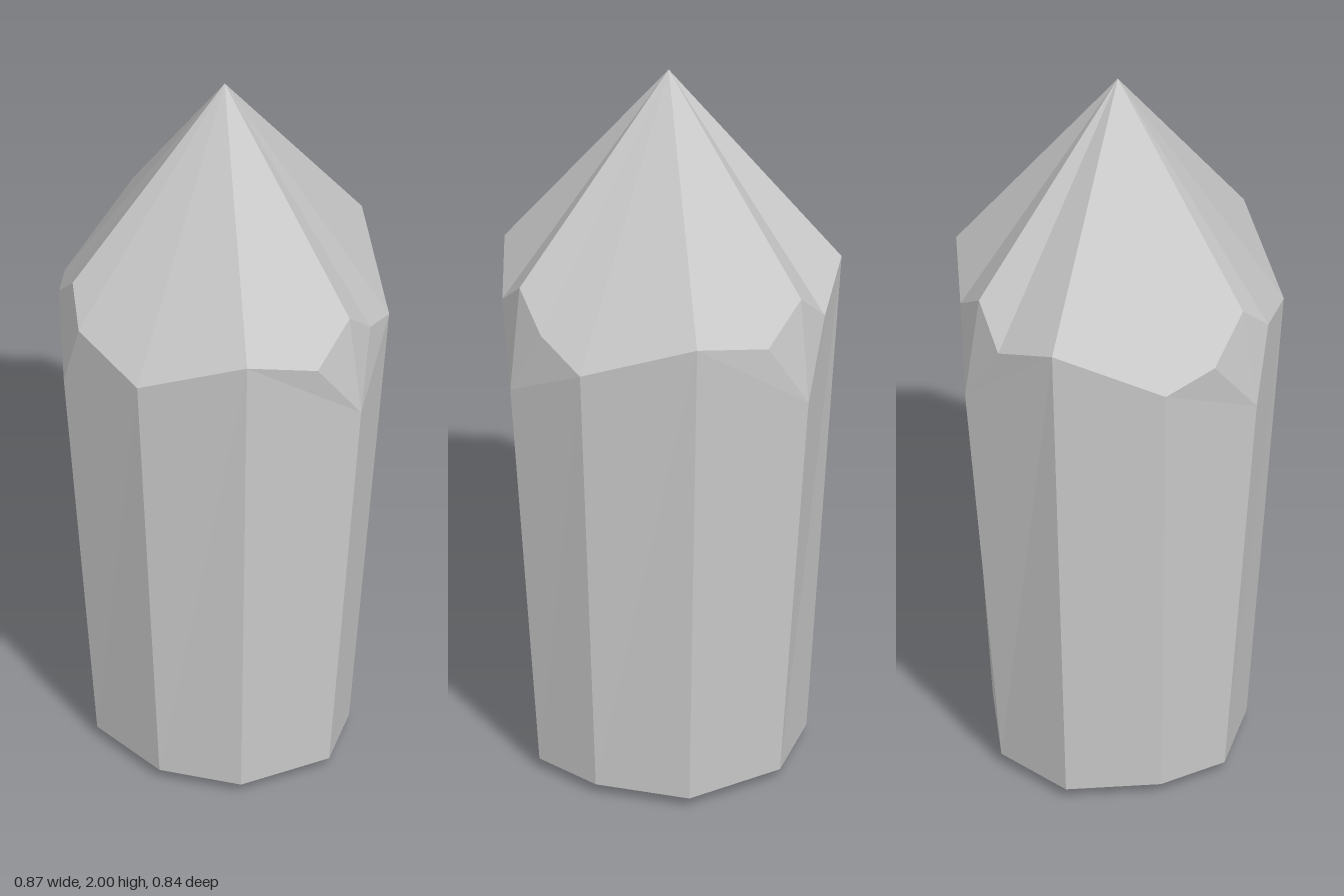
import * as THREE from 'three';

// One entry per third of the crystal, going round from +x towards +z.
// a, b: shoulder corners; l, t, r, k: left, top, right and bottom of the small kite facet.
// base: foot points below a, b and k.
const thirds = [
  {
    a: [0.31, 1.42, 0.30], b: [0.045, 1.30, 0.42],
    l: [-0.17, 1.365, 0.395], t: [-0.24, 1.45, 0.335], r: [-0.34, 1.34, 0.27], k: [-0.24, 1.16, 0.37],
    base: [[0.24, 0.03, 0.24], [0.04, 0.03, 0.325], [-0.2, 0.03, 0.285]],
  },
  {
    a: [-0.42, 1.30, 0.15], b: [-0.435, 1.42, -0.14],
    l: [-0.325, 1.35, -0.285], t: [-0.235, 1.45, -0.34], r: [-0.12, 1.36, -0.395], k: [-0.24, 1.16, -0.375],
    base: [[-0.31, 0.03, 0.13], [-0.35, 0.03, -0.11], [-0.2, 0.03, -0.285]],
  },
  {
    a: [0.09, 1.42, -0.42], b: [0.335, 1.30, -0.235],
    l: [0.385, 1.36, -0.10], t: [0.40, 1.45, 0], r: [0.395, 1.35, 0.12], k: [0.43, 1.16, -0.01],
    base: [[0.07, 0.03, -0.325], [0.26, 0.03, -0.165], [0.34, 0.03, 0.01]],
  },
];
const apex = [-0.015, 2, 0];
const foot = [-0.01, 0, 0];

// Builds a mesh from convex polygons, each split as a fan from its first corner.
function facetMesh(name, polygons, material) {
  const positions = [];
  for (const p of polygons) {
    for (let i = 1; i < p.length - 1; i++) positions.push(...p[0], ...p[i], ...p[i + 1]);
  }
  const geometry = new THREE.BufferGeometry();
  geometry.setAttribute('position', new THREE.Float32BufferAttribute(positions, 3));
  geometry.computeVertexNormals();
  const mesh = new THREE.Mesh(geometry, material);
  mesh.name = name;
  return mesh;
}

export function createModel() {
  const material = new THREE.MeshStandardMaterial({ color: 0xcccccc, flatShading: true });
  const tip = [], body = [], kites = [], bottom = [];

  thirds.forEach(({ a, b, l, t, r, k, base }, i) => {
    const next = thirds[(i + 1) % thirds.length];
    const [footA, footB, footK] = base;
    const nextFoot = next.base[0];

    // Pointed tip
    const rim = [a, b, l, t, r, next.a];
    for (let j = 0; j < rim.length - 1; j++) tip.push([rim[j + 1], rim[j], apex]);

    // Tapered sides
    body.push([a, b, footB, footA]);
    body.push([b, l, k, footK, footB]);
    body.push([next.a, nextFoot, footK, k, r]);

    // Small kite facet on the shoulder
    kites.push([t, r, k, l]);

    // Shallow underside
    const ring = [footA, footB, footK, nextFoot];
    for (let j = 0; j < ring.length - 1; j++) bottom.push([ring[j], ring[j + 1], foot]);
  });

  const group = new THREE.Group();
  group.name = 'crystal';
  group.add(
    facetMesh('crystalTip', tip, material),
    facetMesh('crystalBody', body, material),
    facetMesh('shoulderFacets', kites, material),
    facetMesh('crystalBottom', bottom, material),
  );
  return group;
}
